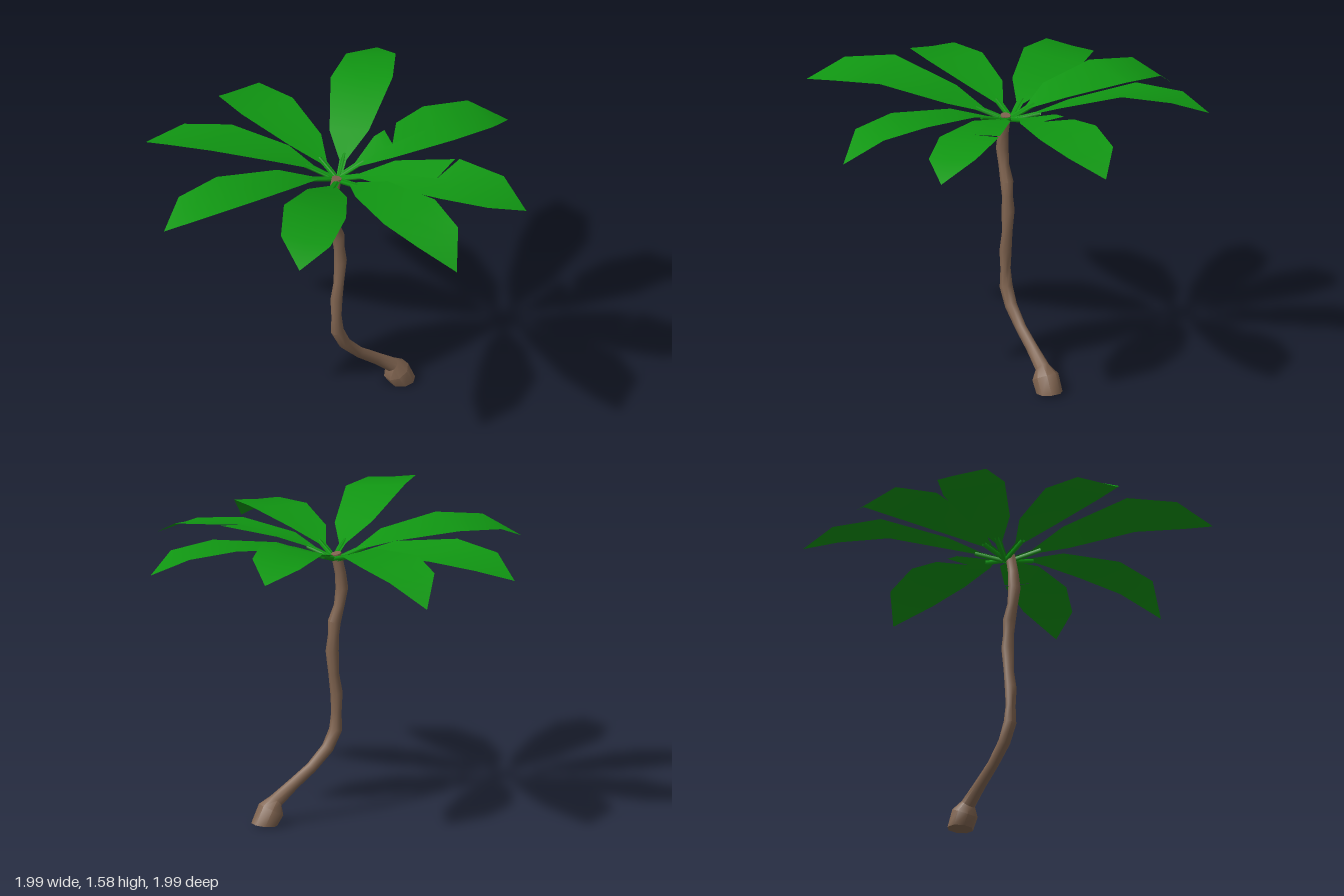
import * as THREE from 'three';
import { toCreasedNormals } from 'three/addons/utils/BufferGeometryUtils.js';

const V = (x, y, z) => new THREE.Vector3(x, y, z);
const bark = new THREE.MeshStandardMaterial({ color: 0x806450 });
const green = new THREE.MeshStandardMaterial({ color: 0x109612, side: THREE.DoubleSide });

function geometryFrom(points) {
  const g = new THREE.BufferGeometry().setFromPoints(points);
  g.computeVertexNormals();
  return g;
}

// Trunk rings: x, y, radius, tilt of the ring about z
const RINGS = [
  [0.383, 0.018, 0.066, 0.12], [0.345, 0.09, 0.068, 0.5], [0.318, 0.132, 0.037, 0.8],
  [0.22, 0.207, 0.03, 0.9], [0.12, 0.28, 0.028, 0.85], [0.03, 0.37, 0.031, 0.65],
  [-0.015, 0.46, 0.033, 0.25], [-0.02, 0.55, 0.026, 0.02], [-0.02, 0.65, 0.031, -0.08],
  [-0.005, 0.75, 0.027, -0.1], [0.004, 0.87, 0.033, 0], [-0.003, 0.95, 0.028, 0.05],
  [-0.008, 1.02, 0.033, 0.2], [-0.035, 1.1, 0.027, 0.3], [-0.05, 1.19, 0.032, 0],
  [-0.042, 1.27, 0.028, -0.2], [-0.018, 1.375, 0.026, -0.2],
];

function buildTrunk() {
  const sides = 8, tris = [];
  const rings = RINGS.map(([x, y, r, tilt]) => Array.from({ length: sides }, (_, i) => {
    const a = ((i + 0.5) / sides) * Math.PI * 2;
    const c = r * Math.cos(a);
    return V(x + c * Math.cos(tilt), Math.max(0, y + c * Math.sin(tilt)), -r * Math.sin(a));
  }));
  for (let k = 0; k < rings.length - 1; k++) {
    for (let i = 0; i < sides; i++) {
      const j = (i + 1) % sides, lo = rings[k], hi = rings[k + 1];
      tris.push(lo[i], lo[j], hi[j], lo[i], hi[j], hi[i]);
    }
  }
  // end caps
  const top = rings[rings.length - 1];
  for (let i = 1; i < sides - 1; i++) {
    tris.push(rings[0][0], rings[0][i + 1], rings[0][i], top[0], top[i], top[i + 1]);
  }
  const mesh = new THREE.Mesh(toCreasedNormals(geometryFrom(tris), 0.85), bark);
  mesh.name = 'trunk';
  return mesh;
}

// Leaf: tip position (x, y, z), heights at the stations, twist and optional tear
const STATIONS = [0.01, 0.12, 0.28, 0.6, 0.84, 1];
const WIDTHS = [0.014, 0.018, 0.1, 0.158, 0.126, 0];

function buildLeaf({ tip, heights, twist, tear }) {
  const reach = Math.hypot(tip[0], tip[1]);
  const dx = tip[0] / reach, dz = tip[1] / reach;
  const rows = STATIONS.map((t, i) => {
    const at = (side) => {
      const w = WIDTHS[i] * side;
      const lift = (w / 0.158) * twist + (Math.abs(w) / 0.158) * 0.006;
      return V(dx * t * reach + dz * w, heights[i] + lift, dz * t * reach - dx * w);
    };
    return { mid: at(0), plus: at(1), minus: at(-1) };
  });
  const tris = [];
  const quad = (m0, e0, e1, m1) => tris.push(m0, m1, e1, m0, e1, e0);
  for (let i = 0; i < rows.length - 1; i++) {
    const a = rows[i], b = rows[i + 1];
    quad(a.minus, a.mid, b.mid, b.minus);
    if (tear && i === 2) {
      // triangular tear cut in from the edge to the midrib
      const edge = (f) => a.plus.clone().lerp(b.plus, f);
      const m = a.mid.clone().lerp(b.mid, tear[2]);
      quad(a.mid, a.plus, edge(tear[0]), m);
      quad(m, edge(tear[1]), b.plus, b.mid);
    } else quad(a.mid, a.plus, b.plus, b.mid);
  }
  const blade = new THREE.Mesh(toCreasedNormals(geometryFrom(tris), 0.6), green);
  blade.name = 'leafBlade';

  // stalk under the narrow part of the blade
  const path = new THREE.LineCurve3(rows[0].mid, rows[1].mid.clone().lerp(rows[2].mid, 0.25));
  path.v1.y -= 0.008;
  path.v2.y -= 0.008;
  const stalk = new THREE.Mesh(new THREE.TubeGeometry(path, 1, 0.012, 5), green);
  stalk.name = 'leafStalk';

  const leaf = new THREE.Group();
  leaf.name = 'leaf';
  leaf.add(blade, stalk);
  return leaf;
}

// Four leaf kinds; each appears again turned half round the trunk
const LEAVES = [
  { name: 'frontBack', tip: [0.02, 0.995], heights: [1.36, 1.395, 1.445, 1.475, 1.45, 1.33], twist: 0.012, z: -0.005 },
  { name: 'side', tip: [0.995, 0.083], heights: [1.36, 1.395, 1.445, 1.478, 1.455, 1.37], twist: 0.01, z: -0.025, tear: [0.21, 0.45, 0.15] },
  { name: 'lowDiagonal', tip: [0.595, 0.805], heights: [1.36, 1.395, 1.44, 1.468, 1.44, 1.365], twist: 0.02, z: -0.025, tear: [0.92, 0.99, 0.78] },
  { name: 'highDiagonal', tip: [0.745, -0.715], heights: [1.36, 1.395, 1.46, 1.562, 1.545, 1.48], twist: -0.02, z: -0.005 },
];

export function createModel() {
  const tree = new THREE.Group();
  tree.name = 'palmTree';
  tree.add(buildTrunk());
  for (const kind of LEAVES) {
    for (const half of [0, 1]) {
      const leaf = buildLeaf(half ? { ...kind, tear: null } : kind);
      leaf.name = kind.name + (half ? 'LeafB' : 'LeafA');
      leaf.rotation.y = half * Math.PI;
      leaf.position.set(-0.005, 0, kind.z);
      tree.add(leaf);
    }
  }
  return tree;
}
